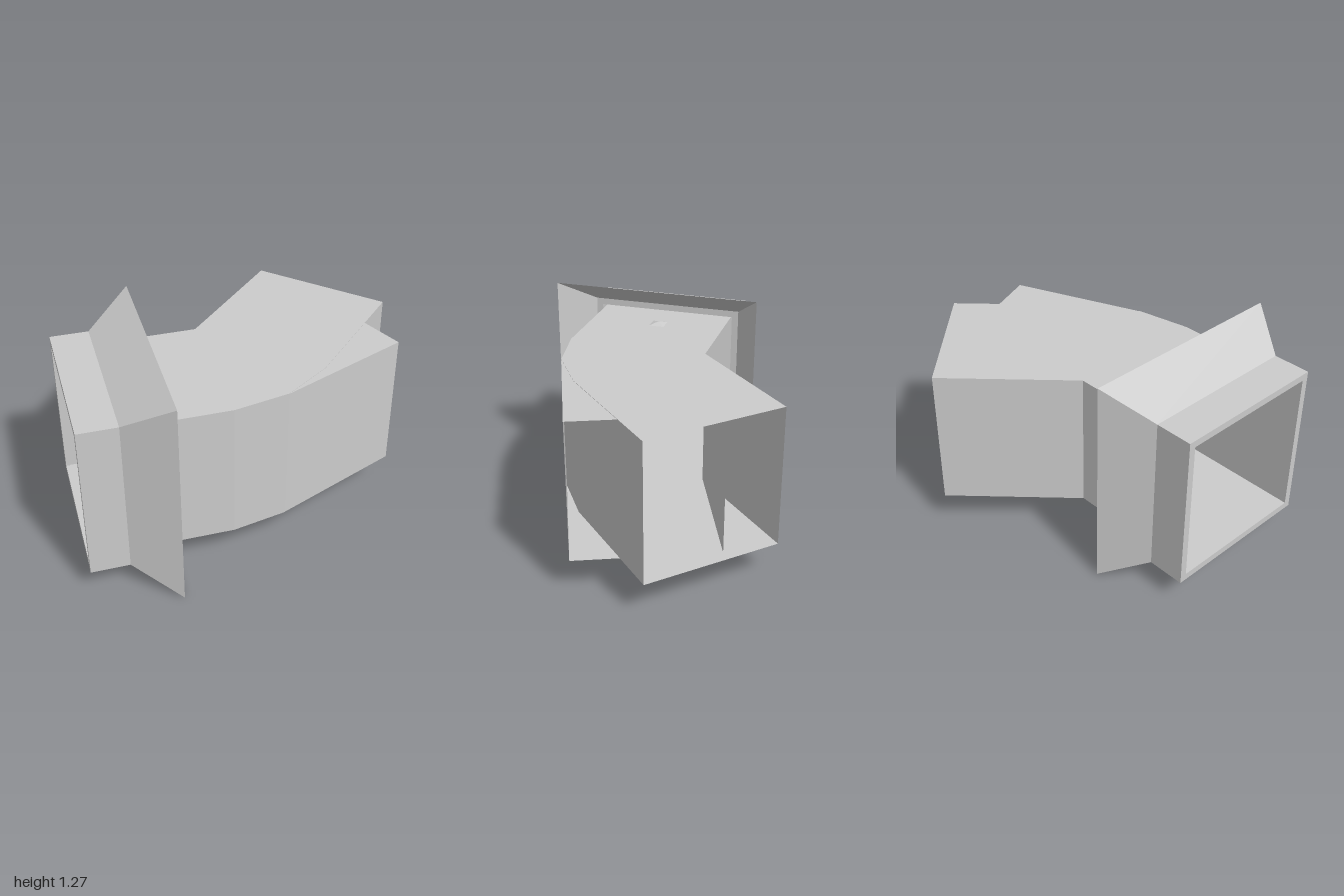
import * as THREE from 'three';

const Y0 = 0.225, Y1 = 1.055, W = 0.83, RUN = 0.82;
const material = new THREE.MeshStandardMaterial({ color: 0xcccccc, flatShading: true, side: THREE.DoubleSide });

function add(group, name, geometry) {
  const mesh = new THREE.Mesh(geometry, material);
  mesh.name = name;
  group.add(mesh);
  return mesh;
}

// Upright wall following a plan path of [x, z] points
function wall(path, y0, y1) {
  const pos = [];
  for (let i = 0; i + 1 < path.length; i++) {
    const [ax, az] = path[i], [bx, bz] = path[i + 1];
    pos.push(ax, y0, az, bx, y0, bz, bx, y1, bz, ax, y0, az, bx, y1, bz, ax, y1, az);
  }
  const g = new THREE.BufferGeometry();
  g.setAttribute('position', new THREE.Float32BufferAttribute(pos, 3));
  g.computeVertexNormals();
  return g;
}

// Thin duct, open at both ends, between an inner and an outer plan path
function duct(name, inner, outer, inset = 0) {
  const group = new THREE.Group();
  group.name = name;
  const y0 = Y0 + inset, y1 = Y1 - inset;
  add(group, 'innerWall', wall(inner, y0, y1));
  add(group, 'outerWall', wall(outer, y0, y1));
  const outline = [...outer, ...inner.slice().reverse()].map(([x, z]) => new THREE.Vector2(x, -z));
  const panel = new THREE.ShapeGeometry(new THREE.Shape(outline)).rotateX(-Math.PI / 2);
  add(group, 'roof', panel.clone().translate(0, y1, 0));
  add(group, 'floor', panel.clone().rotateX(Math.PI).scale(1, 1, -1).translate(0, y0, 0));
  return group;
}

export function createModel() {
  const model = new THREE.Group();
  const pivot = [-0.173, -0.235];
  const start = -0.98;

  // Points on the elbow's outer arc, and straight runs leaving it
  const arc = (deg) => {
    const a = THREE.MathUtils.degToRad(deg);
    return [pivot[0] + W * Math.sin(a), pivot[1] + W * Math.cos(a)];
  };
  const along = ([x, z], deg) => {
    const a = THREE.MathUtils.degToRad(deg);
    return [x + RUN * Math.cos(a), z - RUN * Math.sin(a)];
  };

  // Trunk, faceted elbow and the branch turned by 45 degrees
  model.add(duct('mainDuct',
    [[start, pivot[1]], pivot, along(pivot, 45)],
    [[start, pivot[1] + W], arc(0), arc(22.5), arc(45), along(arc(45), 45)]));

  // Shorter turn that overlaps the main branch
  model.add(duct('sideBranch',
    [pivot, along(pivot, 22.5)],
    [arc(22.5), along(arc(22.5), 22.5)], 0.002));

  // Square collar with a thin flared skirt: [x, half width]
  const profile = [[-0.52, 0.635], [-0.78, 0.47], [-1, 0.47], [-1, 0.43], [-0.78, 0.43], [-0.78, 0.47]]
    .map(([x, h]) => new THREE.Vector2(h * Math.SQRT2, x));
  const collar = new THREE.LatheGeometry(profile, 4, Math.PI / 4).toNonIndexed();
  collar.computeVertexNormals();
  collar.rotateZ(-Math.PI / 2).translate(0, 0.64, 0.18);
  add(model, 'flaredCollar', collar);

  // Small stud on the roof beside the collar
  const stud = new THREE.ConeGeometry(0.065, 0.016, 4).rotateY(Math.PI / 4);
  add(model, 'roofStud', stud).position.set(-0.57, Y1 + 0.008, 0.17);

  return model;
}
